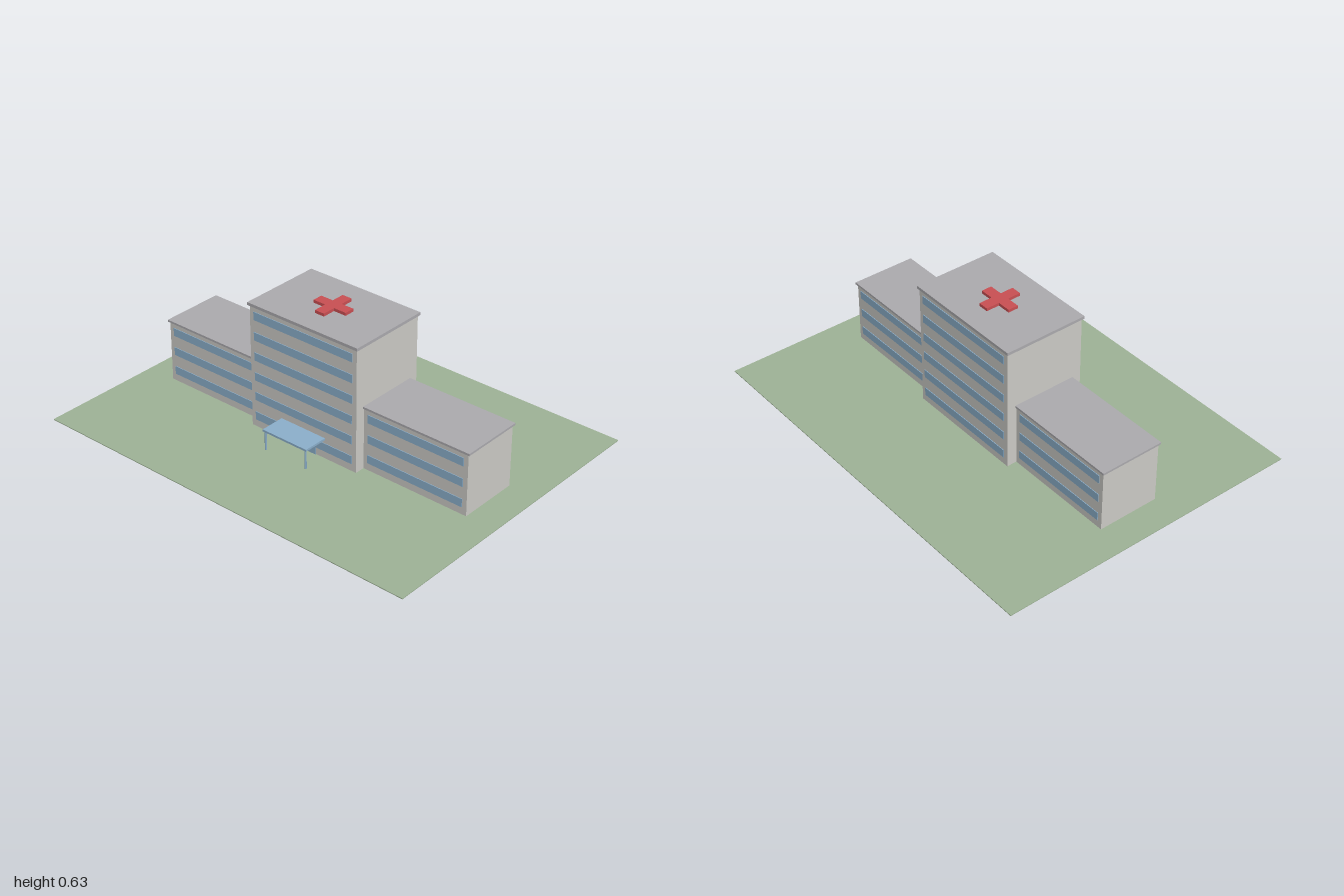
import * as THREE from 'three';

const mat = (name, color) => {
  const m = new THREE.MeshStandardMaterial({ color });
  m.name = name;
  return m;
};

export function createModel() {
  const model = new THREE.Group();
  model.name = 'hospital';
  const wall = mat('wall grey', 0xcbcac5);
  const roof = mat('roof grey', 0xabaaae);
  const glass = mat('glass blue', 0x8bafcb);
  const grass = mat('grass green', 0x9eb296);
  const red = mat('cross red', 0xc94f52);
  const base = 0.004; // top of the lawn

  // Box placed by its centre in x and z, and by its bottom in y
  const box = (parent, name, material, w, h, d, x, y, z) => {
    const mesh = new THREE.Mesh(new THREE.BoxGeometry(w, h, d), material);
    mesh.name = name;
    mesh.position.set(x, y + h / 2, z);
    parent.add(mesh);
  };

  // Block with a roof slab and window bands on front and back
  const block = (name, x, w, d, floors, slab) => {
    const g = new THREE.Group();
    g.name = name;
    const h = floors * 0.1;
    box(g, 'walls', wall, w, h, d, x, base, 0);
    box(g, 'roofSlab', roof, w + 0.016, slab, d + 0.014, x, base + h, 0);
    for (let i = 0; i < floors; i++) {
      for (const side of [1, -1]) {
        box(g, 'windowBand', glass, w - 0.045, 0.04, 0.006, x, 0.04 + i * 0.1, side * d / 2);
      }
    }
    model.add(g);
  };

  box(model, 'lawn', grass, 2, base, 1.5, 0, 0, 0);
  block('mainBlock', 0, 0.6, 0.4, 6, 0.014);
  for (const s of [1, -1]) {
    block(s > 0 ? 'leftWing' : 'rightWing', s * 0.575, 0.55, 0.3, 3, 0.01);
  }

  // Entrance: door, canopy and its two posts
  const entrance = new THREE.Group();
  entrance.name = 'entrance';
  box(entrance, 'door', glass, 0.15, 0.08, 0.009, 0, base, 0.2);
  box(entrance, 'canopy', glass, 0.25, 0.01, 0.122, 0, 0.096, 0.261);
  for (const s of [1, -1]) {
    const post = new THREE.Mesh(new THREE.CylinderGeometry(0.005, 0.005, 0.092, 8), glass);
    post.name = 'canopyPost';
    post.position.set(s * 0.115, base + 0.046, 0.314);
    entrance.add(post);
  }
  model.add(entrance);

  // Cross lying on the roof
  const a = 0.09, b = 0.025;
  const outline = [[b, a], [b, b], [a, b], [a, -b], [b, -b], [b, -a],
    [-b, -a], [-b, -b], [-a, -b], [-a, b], [-b, b], [-b, a]];
  const shape = new THREE.Shape(outline.map(([x, y]) => new THREE.Vector2(x, y)));
  const geo = new THREE.ExtrudeGeometry(shape, { depth: 0.014, bevelEnabled: false });
  geo.rotateX(-Math.PI / 2);
  const cross = new THREE.Mesh(geo, red);
  cross.name = 'roofCross';
  cross.position.y = 0.618;
  model.add(cross);

  return model;
}
